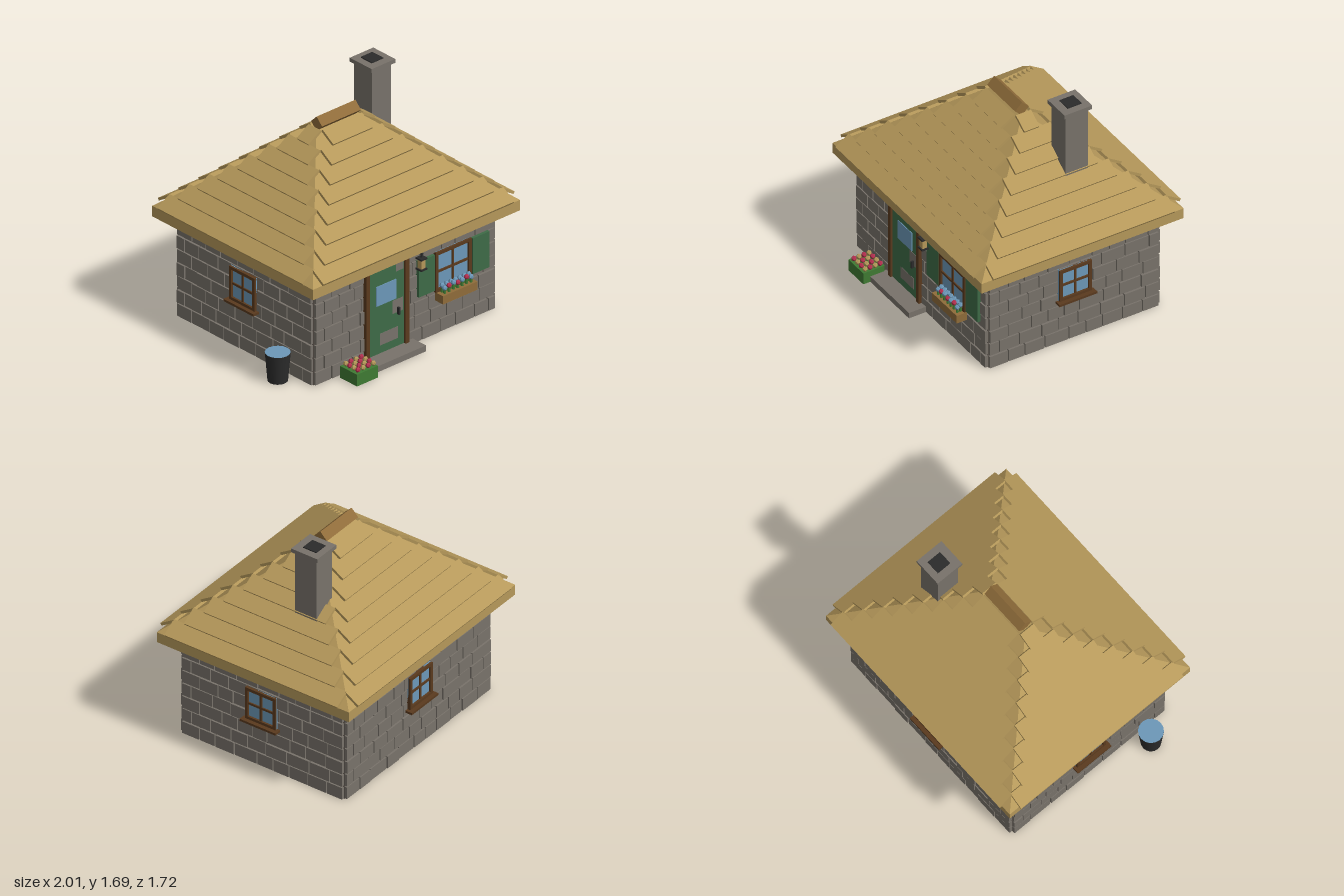
import * as THREE from 'three';

const mat = (name, color) => {
  const m = new THREE.MeshStandardMaterial({ color });
  m.name = name;
  return m;
};

export function createModel() {
  const M = {
    thatch: mat('thatch', 0xb5985a), stone: mat('stone', 0x78726a), mortar: mat('mortar', 0x5a524b),
    darkWood: mat('darkWood', 0x5a3a1e), wood: mat('wood', 0x8f6c3a), glass: mat('glass', 0x6c98b8),
    green: mat('paintedGreen', 0x3e6b47), black: mat('black', 0x2b2b2b),
    leaf: mat('leafGreen', 0x3f7a33), red: mat('petalRed', 0xb5304f),
  };
  const model = new THREE.Group();
  model.name = 'cottage';

  let seed = 7;
  const rand = () => (seed = (seed * 16807) % 2147483647) / 2147483647;

  const add = (parent, name, geo, material, x = 0, y = 0, z = 0) => {
    const mesh = new THREE.Mesh(geo, material);
    mesh.name = name;
    mesh.position.set(x, y, z);
    parent.add(mesh);
    return mesh;
  };
  // Box given by its extents
  const box = (parent, name, material, x0, x1, y0, y1, z0, z1) =>
    add(parent, name, new THREE.BoxGeometry(x1 - x0, y1 - y0, z1 - z0), material,
      (x0 + x1) / 2, (y0 + y1) / 2, (z0 + z1) / 2);
  const group = (parent, name) => {
    const g = new THREE.Group();
    g.name = name;
    parent.add(g);
    return g;
  };

  const house = group(model, 'house');
  house.position.set(0.035, 0, -0.035);
  const HX = 0.82, HZ = 0.675;
  box(house, 'wallCore', M.mortar, -HX, HX, 0, 0.76, -HZ, HZ);

  // One group per side, each turned so its local +z points outwards
  const sides = ['front', 'left', 'back', 'right'].map((name, k) => {
    const g = group(house, name + 'Side');
    g.rotation.y = k * Math.PI / 2;
    return { g, k, half: k % 2 ? HZ : HX, depth: k % 2 ? HX : HZ };
  });

  // Stone courses
  for (const { g, half, depth } of sides) {
    const wall = group(g, 'stoneWall');
    for (let row = 0; row < 8; row++) {
      const y0 = row * 0.104 + 0.004, y1 = Math.min(y0 + 0.094, 0.76);
      let x = -half;
      let w = row % 2 ? 0.08 : 0.15;
      while (x < half - 0.01) {
        let end = Math.min(x + w, half);
        if (half - end < 0.06) end = half;
        box(wall, 'stone', M.stone, x + 0.004, end - 0.004, y0, y1, depth - 0.01, depth + 0.016 + rand() * 0.007);
        x = end;
        w = 0.12 + rand() * 0.075;
      }
    }
  }

  // Cross-barred window on a plane at depth z
  const windowUnit = (parent, cx, cy, w, h, z) => {
    const win = group(parent, 'window');
    win.position.set(cx, cy, z);
    const a = w / 2, b = h / 2, t = 0.023;
    box(win, 'glass', M.glass, -a, a, -b, b, 0, 0.026);
    for (const s of [-1, 1]) {
      const fx = s * (a - t / 2), fy = s * (b - t / 2);
      box(win, 'frameSide', M.darkWood, fx - t / 2, fx + t / 2, -b, b, 0, 0.042);
      box(win, 'frameRail', M.darkWood, -a, a, fy - t / 2, fy + t / 2, 0, 0.042);
    }
    box(win, 'mullion', M.darkWood, -0.008, 0.008, -b, b, 0, 0.036);
    box(win, 'transom', M.darkWood, -a, a, -0.008, 0.008, 0, 0.036);
    return win;
  };
  for (const { g, k, depth } of sides) {
    if (k === 0) continue;
    const win = windowUnit(g, 0, 0.485, 0.255, 0.255, depth);
    box(win, 'sill', M.darkWood, -0.15, 0.15, -0.142, -0.125, 0, 0.072);
  }

  // Roof: eave slab, hipped core, overlapping thatch tiers
  const roof = group(house, 'roof');
  box(roof, 'eave', M.thatch, -0.945, 0.945, 0.75, 0.83, -0.805, 0.805);
  const core = new THREE.BoxGeometry(1.89, 0.64, 1.61).toNonIndexed();
  const p = core.attributes.position;
  for (let i = 0; i < p.count; i++) {
    if (p.getY(i) > 0) p.setXYZ(i, Math.sign(p.getX(i)) * 0.18, p.getY(i), 0);
  }
  core.computeVertexNormals();
  add(roof, 'roofCore', core, M.thatch, 0, 1.15, 0);
  const tilt = Math.atan2(0.07, 0.11);
  for (const { g, k } of sides) {
    const tiers = group(g, 'thatchTiers');
    const end = k % 2;
    for (let i = 0; i < 8; i++) {
      const halfW = end ? 0.725 - 0.095 * i : 0.87 - 0.0985 * i;
      const d = end ? 0.965 - 0.095 * i : 0.825 - 0.094 * i;
      const slab = add(tiers, 'thatchTier', new THREE.BoxGeometry(halfW * 2, 0.02, 0.13), M.thatch,
        0, 0.88 + 0.08 * i, d - 0.055);
      slab.rotation.x = tilt;
    }
  }
  const ridge = add(roof, 'ridgeBeam', new THREE.BoxGeometry(0.355, 0.078, 0.078), M.wood, 0, 1.502, 0);
  ridge.rotation.x = Math.PI / 4;

  // Chimney
  const chimney = group(model, 'chimney');
  box(chimney, 'chimneyStack', M.stone, 0.445, 0.62, 1.14, 1.66, -0.305, -0.125);
  box(chimney, 'chimneyCap', M.stone, 0.425, 0.64, 1.655, 1.685, -0.325, -0.105);
  box(chimney, 'flue', M.black, 0.48, 0.585, 1.68, 1.692, -0.275, -0.165);

  // Door with frame, pane, handle and step
  const door = group(model, 'door');
  box(door, 'doorPanel', M.green, -0.315, 0.02, 0.04, 0.715, 0.63, 0.668);
  for (const [x0, x1, y0, y1] of [[-0.205, -0.04, 0.105, 0.195], [-0.09, 0.005, 0.305, 0.405], [-0.06, 0.01, 0.62, 0.7]])
    box(door, 'stonePatch', M.stone, x0, x1, y0, y1, 0.662, 0.67);
  box(door, 'doorPane', M.glass, -0.24, -0.06, 0.415, 0.565, 0.665, 0.673);
  box(door, 'handle', M.black, -0.05, -0.036, 0.29, 0.345, 0.665, 0.69);
  box(door, 'leftPost', M.darkWood, 0.015, 0.048, 0.04, 0.72, 0.63, 0.685);
  box(door, 'rightPost', M.darkWood, -0.343, -0.31, 0.04, 0.72, 0.63, 0.685);
  box(door, 'lintel', M.darkWood, -0.37, 0.085, 0.712, 0.752, 0.63, 0.692);
  box(door, 'doorstep', M.stone, -0.4, 0.1, 0, 0.045, 0.64, 0.795);

  // Front window with shutters
  windowUnit(model, 0.458, 0.482, 0.325, 0.305, 0.64);
  for (const [x0, x1] of [[0.14, 0.287], [0.633, 0.785]])
    box(model, 'shutter', M.green, x0, x1, 0.35, 0.625, 0.64, 0.68);

  // Faceted blossom on a stem
  const blossomGeo = new THREE.IcosahedronGeometry(0.02, 0).toNonIndexed();
  const flower = (parent, material, x, y, z, stem) => {
    add(parent, 'stem', new THREE.CylinderGeometry(0.008, 0.012, stem, 5), M.leaf, x, y - stem / 2, z);
    add(parent, 'blossom', blossomGeo, material, x, y, z);
  };

  // Window flower box
  const flowerBox = group(model, 'windowFlowerBox');
  box(flowerBox, 'trough', M.wood, 0.305, 0.62, 0.262, 0.325, 0.66, 0.742);
  for (let i = 0; i < 7; i++) {
    const x = 0.343 + i * 0.04;
    flower(flowerBox, i % 2 ? M.red : M.glass, x, 0.365 + (i % 3) * 0.007, 0.715, 0.05);
    flower(flowerBox, M.glass, x, 0.376, 0.69, 0.06);
  }

  // Ground planter
  const planter = group(model, 'planter');
  box(planter, 'planterBox', M.leaf, -0.58, -0.39, 0, 0.09, 0.68, 0.85);
  for (let i = 0; i < 4; i++)
    for (let j = 0; j < 4; j++)
      flower(planter, (i + j) % 2 ? M.red : M.thatch, -0.55 + i * 0.047, 0.108, 0.705 + j * 0.04, 0.03);

  // Hanging lantern
  const lantern = group(model, 'lantern');
  box(lantern, 'arm', M.black, 0.132, 0.148, 0.692, 0.704, 0.65, 0.715);
  box(lantern, 'hook', M.black, 0.136, 0.144, 0.66, 0.7, 0.702, 0.71);
  box(lantern, 'lamp', M.thatch, 0.121, 0.159, 0.588, 0.662, 0.687, 0.725);
  box(lantern, 'lampTop', M.black, 0.112, 0.168, 0.658, 0.67, 0.678, 0.734);
  box(lantern, 'lampBase', M.black, 0.112, 0.168, 0.578, 0.59, 0.678, 0.734);

  // Water butt: dark sides, water at both ends
  add(model, 'waterButt', new THREE.CylinderGeometry(0.088, 0.07, 0.215, 16),
    [M.black, M.glass, M.glass], -0.912, 0.1075, 0.42);

  return model;
}
